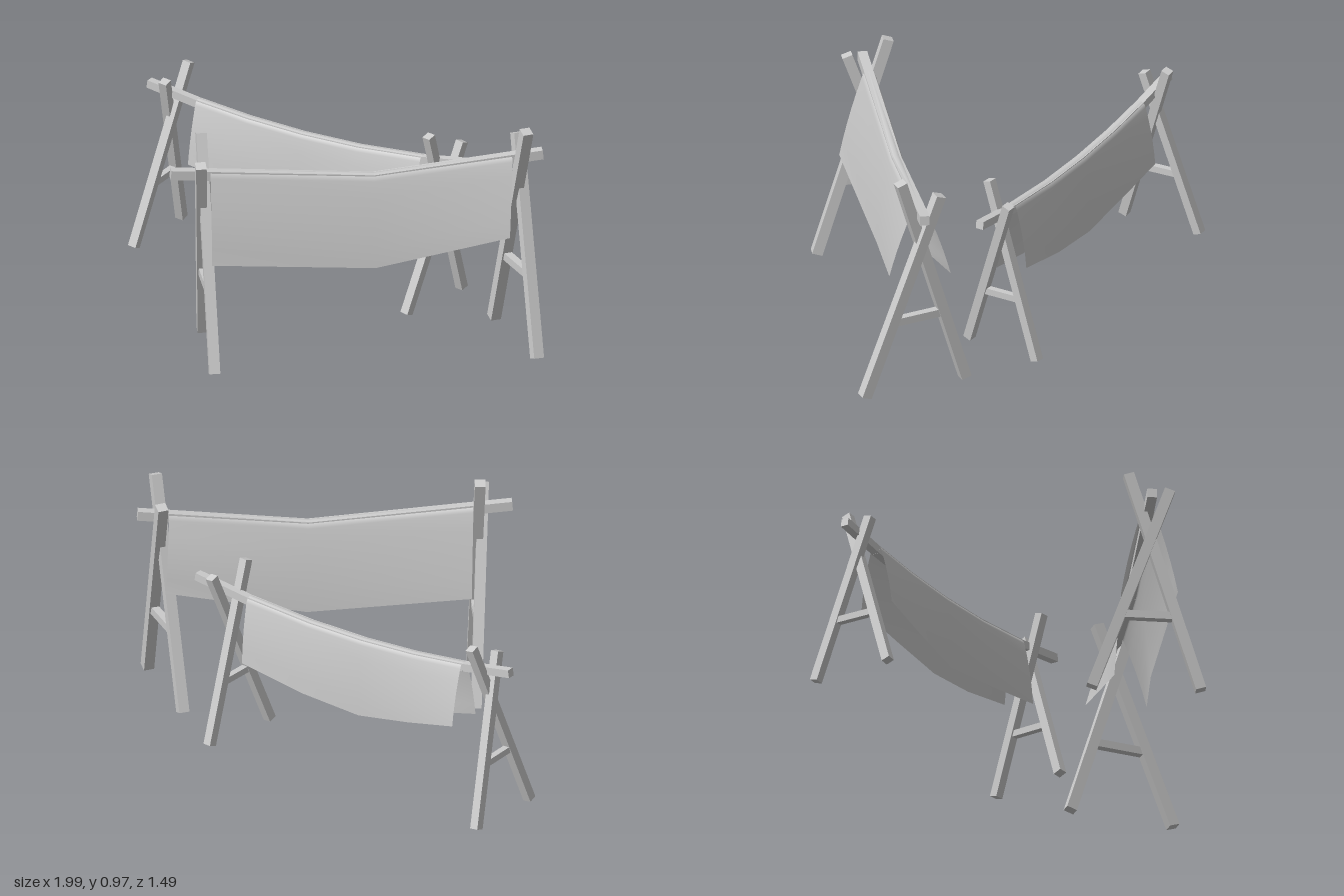
import * as THREE from 'three';

const wood = new THREE.MeshStandardMaterial({ color: 0xcccccc, flatShading: true });
const fabric = new THREE.MeshStandardMaterial({ color: 0xcccccc, side: THREE.DoubleSide });
const V = (a) => new THREE.Vector3(...a);

// Square beam between two points, one face turned toward "side"
function beam(name, a, b, size, side) {
  const dir = b.clone().sub(a);
  const mesh = new THREE.Mesh(new THREE.BoxGeometry(size, dir.length(), size), wood);
  const y = dir.normalize();
  const z = new THREE.Vector3().crossVectors(side, y).normalize();
  const x = new THREE.Vector3().crossVectors(y, z);
  mesh.quaternion.setFromRotationMatrix(new THREE.Matrix4().makeBasis(x, y, z));
  mesh.position.copy(a).add(b).multiplyScalar(0.5);
  mesh.name = name;
  return mesh;
}

// Two crossed legs joined by a low rung
function trestle(name, legs, size, rungY) {
  const group = new THREE.Group();
  group.name = name;
  const ends = legs.map((leg) => leg.map(V));
  const side = ends[1][0].clone().sub(ends[0][0]).setY(0).normalize();
  const rung = ends.map(([foot, top]) => foot.clone().lerp(top, (rungY - foot.y) / (top.y - foot.y)));
  ends.forEach(([foot, top], i) => group.add(beam('leg' + (i + 1), foot, top, size, side)));
  group.add(beam('rung', rung[0], rung[1], size * 0.75, new THREE.Vector3(0, 1, 0)));
  return group;
}

// Sagging pole made of straight lengths
function pole(points, size) {
  const group = new THREE.Group();
  group.name = 'pole';
  const pts = points.map(V);
  for (let i = 1; i < pts.length; i++) {
    group.add(beam('poleLength', pts[i - 1], pts[i], size, new THREE.Vector3(0, 1, 0)));
  }
  return group;
}

// Cloth draped over the pole; each station is [ridge, front hem, back hem]
function cloth(stations, across, radius) {
  const n = V(across).normalize();
  const rows = stations.map((s) => {
    const [ridge, front, back] = s.map(V);
    const half = (hem, sign) => {
      const at = (out, drop) => ridge.clone().addScaledVector(n, sign * out * radius).setY(ridge.y - drop * radius);
      const shoulder = at(1, 0.9);
      const control = shoulder.clone().lerp(hem, 0.5).addScaledVector(n, sign * 0.012);
      const fall = new THREE.QuadraticBezierCurve3(shoulder, control, hem).getPoints(5);
      return [at(0.4, 0.08), at(0.78, 0.35), ...fall];
    };
    return [...half(front, 1).reverse(), ridge, ...half(back, -1)];
  });
  const w = rows[0].length;
  const index = [];
  for (let i = 0; i < rows.length - 1; i++) {
    for (let j = 0; j < w - 1; j++) {
      const a = i * w + j, b = a + w;
      index.push(a, b, a + 1, b, b + 1, a + 1);
    }
  }
  const geometry = new THREE.BufferGeometry().setFromPoints(rows.flat());
  geometry.setIndex(index);
  geometry.computeVertexNormals();
  const mesh = new THREE.Mesh(geometry, fabric);
  mesh.name = 'cloth';
  return mesh;
}

export function createModel() {
  const model = new THREE.Group();
  model.name = 'dryingRacks';

  // Tall front rack
  const tall = new THREE.Group();
  tall.name = 'tallRack';
  tall.add(
    trestle('rightTrestle', [
      [[-0.235, 0.012, 0.72], [-0.385, 0.965, 0.46]],
      [[-0.43, 0.012, 0.315], [-0.33, 0.89, 0.62]],
    ], 0.044, 0.335),
    trestle('leftTrestle', [
      [[0.66, 0.012, -0.2], [0.875, 0.965, 0.01]],
      [[0.965, 0.012, 0.135], [0.785, 0.89, -0.13]],
    ], 0.044, 0.335),
    pole([[-0.47, 0.825, 0.597], [0.28, 0.755, 0.214], [0.905, 0.825, -0.105]], 0.04),
    cloth([
      [[-0.325, 0.832, 0.523], [-0.275, 0.455, 0.635], [-0.365, 0.45, 0.42]],
      [[0.28, 0.778, 0.214], [0.315, 0.385, 0.288], [0.256, 0.39, 0.15]],
      [[0.79, 0.832, -0.046], [0.825, 0.505, 0.073], [0.75, 0.52, -0.168]],
    ], [0.45, 0, 0.89], 0.03),
  );

  // Low back rack
  const low = new THREE.Group();
  low.name = 'lowRack';
  const sag = (x, lift) => [x, 0.6 + lift + 0.07 * ((x + 0.195) / 0.775) ** 2, -0.565 + (x + 0.97) * 0.211];
  low.add(
    trestle('rightTrestle', [
      [[-0.97, 0.012, -0.375], [-0.813, 0.77, -0.61]],
      [[-0.885, 0.012, -0.725], [-0.876, 0.72, -0.49]],
    ], 0.037, 0.27),
    trestle('leftTrestle', [
      [[0.31, 0.012, -0.11], [0.475, 0.72, -0.33]],
      [[0.435, 0.012, -0.44], [0.37, 0.775, -0.215]],
    ], 0.037, 0.27),
    pole([-0.97, -0.74, -0.5, -0.245, 0.02, 0.32, 0.578].map((x) => sag(x, 0)), 0.034),
    cloth([
      [sag(-0.738, 0.02), [-0.757, 0.385, -0.44], [-0.717, 0.386, -0.588]],
      [sag(-0.5, 0.02), [-0.51, 0.335, -0.408], [-0.487, 0.33, -0.52]],
      [sag(-0.245, 0.02), [-0.255, 0.288, -0.37], [-0.238, 0.283, -0.453]],
      [sag(0.02, 0.02), [0.01, 0.31, -0.302], [0.03, 0.31, -0.408]],
      [sag(0.318, 0.02), [0.308, 0.345, -0.228], [0.325, 0.37, -0.36]],
    ], [-0.206, 0, 0.978], 0.026),
  );

  model.add(tall, low);
  return model;
}
